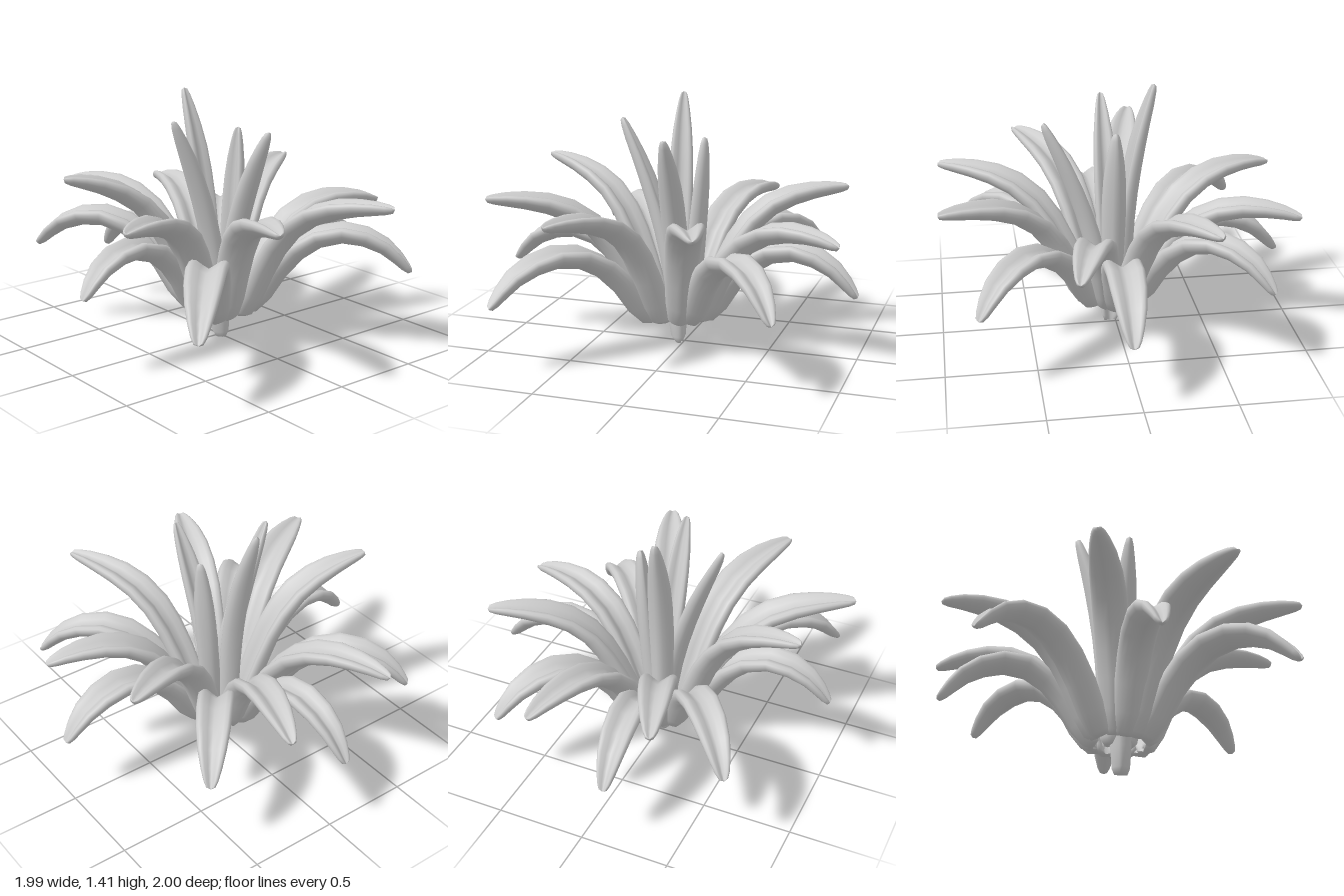
import * as THREE from 'three';

const CENTER = new THREE.Vector3(0.025, 0, 0.03);
const UP = new THREE.Vector3(0, 1, 0);

// Stations along a leaf: [position, width, thickness], relative to the largest
const STATIONS = [
  [0, 0, 0], [0.004, 0.52, 0.4], [0.03, 0.72, 0.85], [0.12, 0.84, 1.1], [0.25, 0.9, 1.1],
  [0.38, 0.95, 1.05], [0.5, 0.99, 1], [0.62, 0.98, 0.95], [0.73, 0.91, 0.88], [0.83, 0.76, 0.75],
  [0.91, 0.56, 0.62], [0.965, 0.38, 0.46], [0.992, 0.23, 0.3], [1, 0, 0],
];
const SIDES = 20;

// Sweep a heart-shaped section (two round lobes, a groove above, a keel below) along a path
function leafGeometry(points, dir, halfWidth, halfThick) {
  const curve = new THREE.CatmullRomCurve3(points, false, 'centripetal');
  const side = new THREE.Vector3().crossVectors(dir, UP).normalize();
  const pos = [], index = [];
  STATIONS.forEach(([u, ws, ts], i) => {
    const p = curve.getPointAt(u);
    const normal = new THREE.Vector3().crossVectors(side, curve.getTangentAt(u)).normalize();
    const w = halfWidth * ws, t = halfThick * ts;
    for (let j = 0; j < SIDES; j++) {
      const a = (j / SIDES) * Math.PI * 2, c = Math.cos(a), s = Math.sin(a);
      const groove = s > 0 ? 0.7 * s ** 8 : 0;
      const h = t * (Math.sign(s) * Math.abs(s) ** 0.85 - groove) + w * 0.3 * (Math.abs(c) - 0.5);
      const v = p.clone().addScaledVector(side, w * c).addScaledVector(normal, h);
      pos.push(v.x, v.y, v.z);
      if (i) {
        const k = (j + 1) % SIDES, lo = (i - 1) * SIDES, hi = i * SIDES;
        index.push(lo + j, hi + j, lo + k, lo + k, hi + j, hi + k);
      }
    }
  });
  const g = new THREE.BufferGeometry();
  g.setAttribute('position', new THREE.Float32BufferAttribute(pos, 3));
  g.setIndex(index);
  g.computeVertexNormals();
  return g;
}

// Side profiles of the outer leaves: heights at fixed fractions of the reach
const REACH = [0.14, 0.22, 0.32, 0.48, 0.67, 0.86, 1];
const PROFILES = {
  flat: [0.16, 0.33, 0.55, 0.75, 0.84, 0.87, 0.875],
  arched: [0.16, 0.32, 0.52, 0.69, 0.755, 0.75, 0.715],
  drooping: [0.16, 0.27, 0.43, 0.575, 0.61, 0.53, 0.375],
};

// [tip x, tip z, profile, tip height, half width]
const OUTER = [
  [0.05, -1.0, 'drooping', 0.37, 0.105],
  [0.31, -0.94, 'arched', 0.715, 0.1],
  [0.81, -0.71, 'drooping', 0.43, 0.1],
  [0.99, -0.36, 'flat', 0.88, 0.1],
  [0.98, 0.42, 'flat', 0.88, 0.105],
  [0.84, 0.81, 'drooping', 0.37, 0.11],
  [0.5, 0.98, 'flat', 0.88, 0.11],
  [0.11, 0.99, 'drooping', 0.44, 0.1],
  [-0.2, 0.89, 'flat', 1.01, 0.1],
  [-0.79, 0.72, 'drooping', 0.5, 0.1],
  [-0.97, 0.39, 'arched', 0.8, 0.1],
  [-0.97, 0.12, 'drooping', 0.35, 0.095],
  [-1.0, -0.29, 'arched', 0.715, 0.1],
  [-0.77, -0.63, 'drooping', 0.43, 0.1],
  [-0.42, -0.85, 'flat', 0.88, 0.105],
];

// Upright heart leaves: [tip x, y, z, base x, y, z, bend]; one reaches down as the stem
const INNER = [
  [-0.225, 1.41, 0.075, -0.04, 0.16, 0.04, 2.3],
  [0.4, 1.24, -0.01, 0.07, 0.16, 0.01, 1.7],
  [0.04, 1.29, 0.35, 0.03, 0, 0.02, 1.9],
  [0.015, 1.2, -0.12, 0.03, 0.16, -0.02, 0.8],
];

export function createModel() {
  const group = new THREE.Group();
  const material = new THREE.MeshStandardMaterial({ color: 0xcccccc });
  const add = (name, geometry) => {
    const mesh = new THREE.Mesh(geometry, material);
    mesh.name = name;
    group.add(mesh);
  };

  // Spreading outer leaves
  OUTER.forEach(([x, z, type, tipY, width], i) => {
    const dir = new THREE.Vector3(x, 0, z).sub(CENTER);
    const heights = PROFILES[type];
    const shift = tipY - heights[6];
    const points = REACH.map((s, k) => {
      const p = CENTER.clone().addScaledVector(dir, s);
      p.y = heights[k] + shift * s;
      return p;
    });
    add('outerLeaf' + (i + 1), leafGeometry(points, dir.clone().normalize(), width, 0.055));
  });

  // Upright inner leaves, leaning out toward the tip
  INNER.forEach(([x, y, z, bx, by, bz, bend], i) => {
    const tip = new THREE.Vector3(x, y, z), base = new THREE.Vector3(bx, by, bz);
    const dir = tip.clone().sub(base).setY(0);
    const points = [0, 0.25, 0.5, 0.75, 1].map((s) => {
      const p = base.clone().addScaledVector(dir, s ** bend);
      p.y = by + (y - by) * s;
      return p;
    });
    add('innerLeaf' + (i + 1), leafGeometry(points, dir.clone().normalize(), 0.07, 0.047));
  });

  return group;
}
